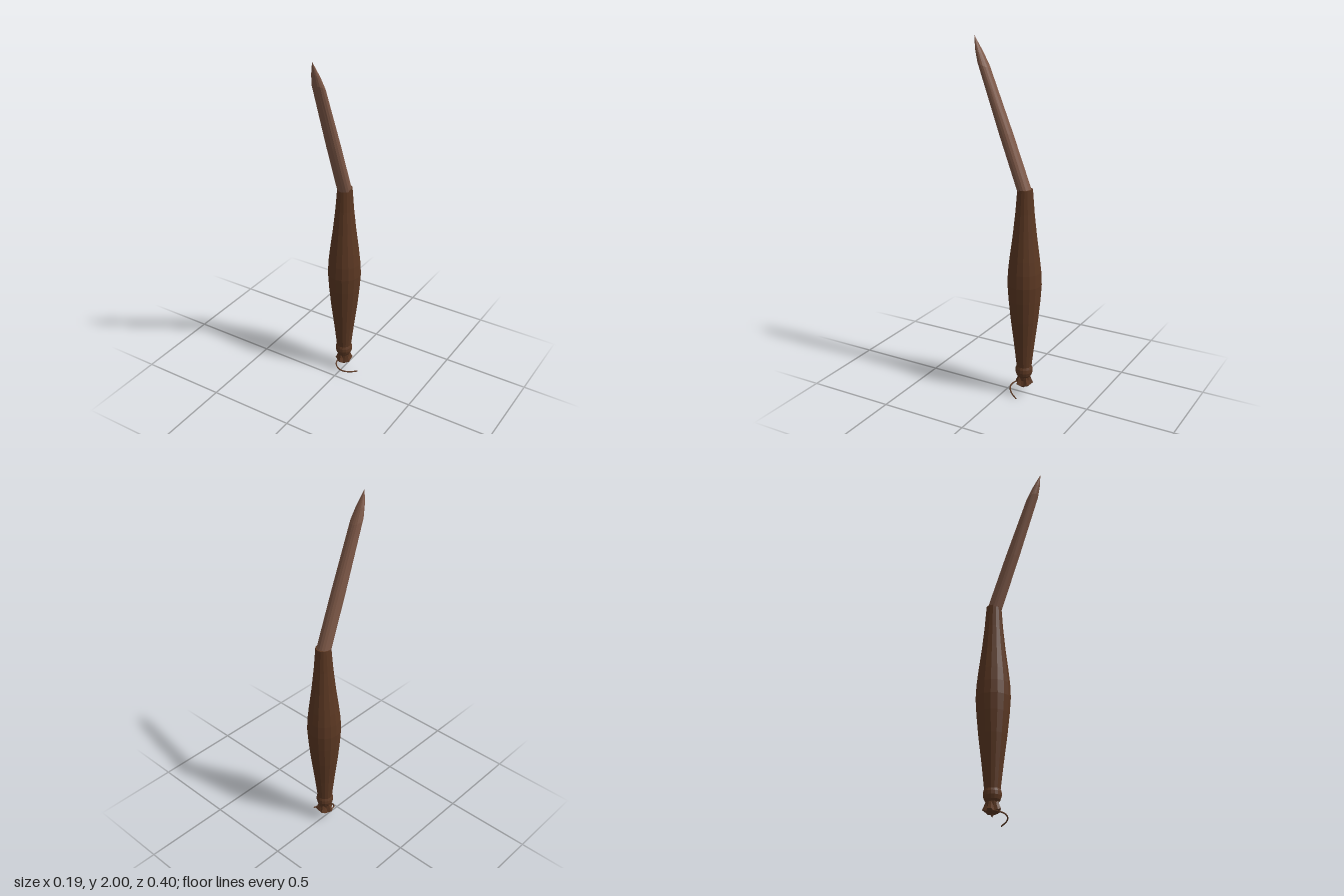
import * as THREE from 'three';

const AXIS_Z = -0.105; // the handle stands slightly behind the centre
const SIDES = 16;

const mat = (name, color) => {
  const m = new THREE.MeshStandardMaterial({ color, flatShading: true, side: THREE.DoubleSide });
  m.name = name;
  return m;
};

const turned = (profile) =>
  new THREE.LatheGeometry(profile.map(([r, y]) => new THREE.Vector2(r, y)), SIDES);

// Move every vertex by a rule
function warp(geometry, rule) {
  const p = geometry.attributes.position;
  const v = new THREE.Vector3();
  for (let i = 0; i < p.count; i++) {
    v.fromBufferAttribute(p, i);
    rule(v);
    p.setXYZ(i, v.x, v.y, v.z);
  }
  geometry.computeVertexNormals();
  return geometry;
}

export function createModel() {
  const group = new THREE.Group();
  const darkWood = mat('darkWood', 0x5a3722);
  const paleWood = mat('paleWood', 0x7d5847);

  const add = (name, geometry, material) => {
    const mesh = new THREE.Mesh(geometry, material);
    mesh.name = name;
    group.add(mesh);
    return mesh;
  };

  // Swelling handle
  add('handle', turned([
    [0, 0.165], [0.042, 0.168], [0.058, 0.31], [0.077, 0.46], [0.089, 0.58], [0.095, 0.67],
    [0.0915, 0.745], [0.083, 0.82], [0.066, 0.95], [0.052, 1.08], [0.042, 1.21], [0, 1.21],
  ]), darkWood).position.z = AXIS_Z;

  // Rounded collar and neck under the handle
  add('collar', turned([
    [0, 0.08], [0.03, 0.085], [0.034, 0.108], [0.043, 0.12], [0.049, 0.14],
    [0.048, 0.16], [0.042, 0.176], [0, 0.178],
  ]), darkWood).position.z = AXIS_Z;

  // Gathered knot: a lathe pinched into five lobes, with a small point below
  const knot = warp(turned([
    [0, 0.03], [0.01, 0.045], [0.036, 0.052], [0.052, 0.064], [0.042, 0.085], [0.033, 0.11], [0, 0.112],
  ]), (v) => {
    const lobe = Math.cos(5 * Math.atan2(v.x, v.z) + 0.6);
    const r = Math.hypot(v.x, v.z);
    const k = 0.87 + 0.17 * lobe;
    v.x *= k;
    v.z *= k;
    if (r > 0.03) v.y += 0.006 * lobe;
  });
  add('knot', knot, darkWood).position.z = AXIS_Z;

  // Loose cord curling out of the knot
  const cord = new THREE.CatmullRomCurve3([
    [-0.03, 0.058, -0.085], [-0.02, 0.05, -0.05], [0.005, 0.04, -0.031],
    [0.035, 0.029, -0.035], [0.066, 0.018, -0.06], [0.094, 0.005, -0.105],
  ].map((p) => new THREE.Vector3(...p)));
  add('cord', new THREE.TubeGeometry(cord, 24, 0.004, 6), darkWood);

  // Leaning shaft: level rings slid forward with height, its shoulder ring tilted
  const shaft = warp(turned([
    [0, 1.2], [0.0405, 1.2], [0.0385, 1.5], [0.034, 1.855], [0.0225, 1.92], [0, 2],
  ]), (v) => {
    const y = v.y;
    if (y > 1.8 && y < 1.99) v.y += v.z * 0.5;
    v.z += -0.101 + (Math.min(y, 1.855) - 1.2) * 0.376 + Math.max(0, y - 1.855) * 0.38;
  });
  add('shaft', shaft, paleWood);

  return group;
}
